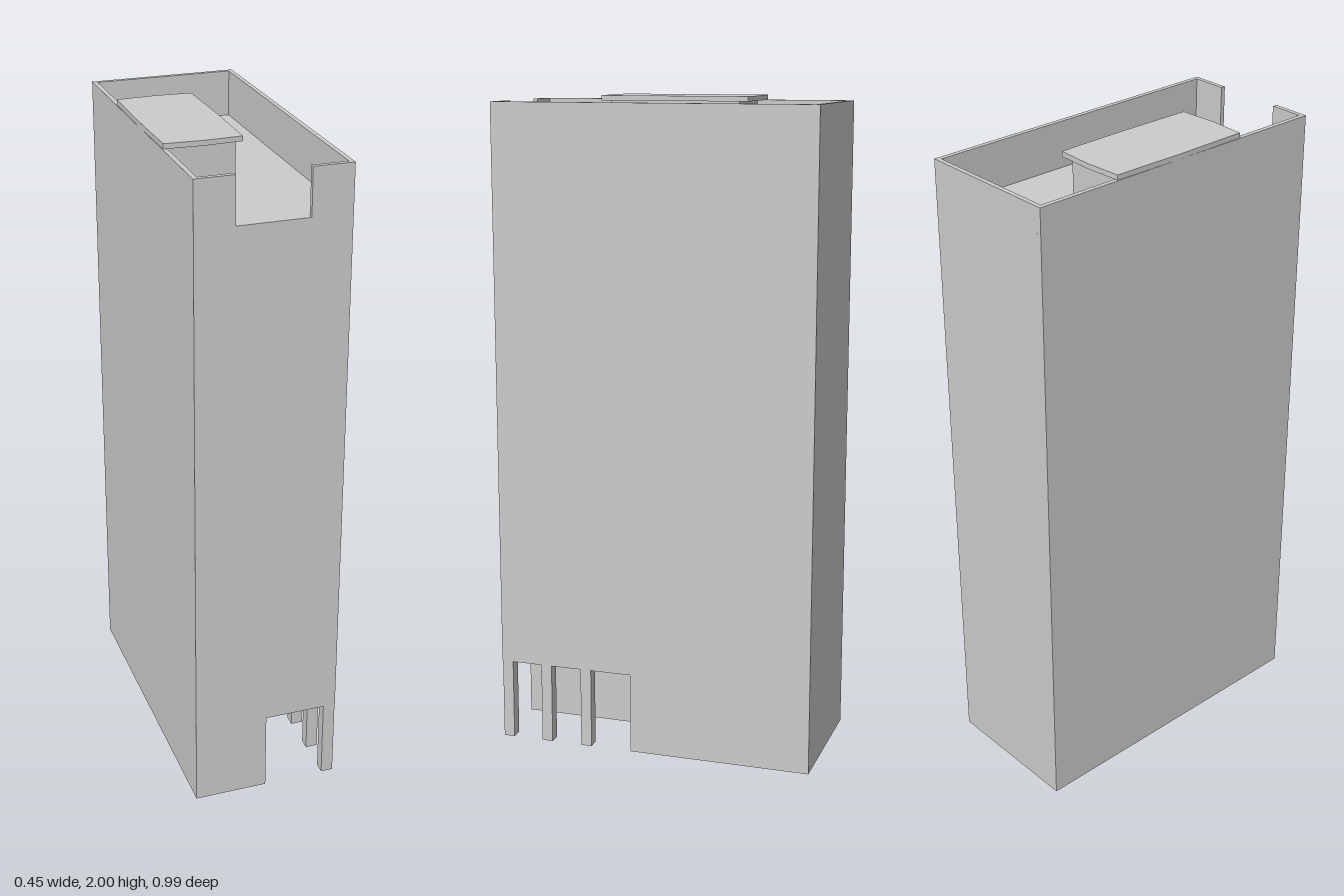
import * as THREE from 'three';

const material = new THREE.MeshStandardMaterial({ color: 0xcccccc, flatShading: true, side: THREE.DoubleSide });

const W = 0.225, D = 0.497;          // half width and half depth
const ROOF = 1.845, TOP = 1.985;     // roof deck and parapet top
const PORCH_Y = 0.25, PORCH_Z = 0.07; // height and rear of the corner porch

export function createModel() {
  const group = new THREE.Group();

  const add = (name, geometry) => {
    const mesh = new THREE.Mesh(geometry, material);
    mesh.name = name;
    group.add(mesh);
    return mesh;
  };

  // Box given by its limits on each axis
  const box = (name, x0, x1, y0, y1, z0, z1) =>
    add(name, new THREE.BoxGeometry(x1 - x0, y1 - y0, z1 - z0))
      .position.set((x0 + x1) / 2, (y0 + y1) / 2, (z0 + z1) / 2);

  // Thin upright walls following a closed plan of [x, z] points
  const walls = (name, plan, y0, y1) => {
    const p = [];
    plan.forEach(([ax, az], i) => {
      const [bx, bz] = plan[(i + 1) % plan.length];
      p.push(ax, y0, az, bx, y0, bz, bx, y1, bz, ax, y0, az, bx, y1, bz, ax, y1, az);
    });
    const g = new THREE.BufferGeometry();
    g.setAttribute('position', new THREE.Float32BufferAttribute(p, 3));
    g.computeVertexNormals();
    return add(name, g);
  };

  // Horizontal sheet, facing up or down
  const sheet = (name, x0, x1, z0, z1, y, up) => {
    const g = new THREE.PlaneGeometry(x1 - x0, z1 - z0);
    g.rotateX(up ? -Math.PI / 2 : Math.PI / 2);
    add(name, g).position.set((x0 + x1) / 2, y, (z0 + z1) / 2);
  };

  // Hollow tower: L-shaped ground storey, rectangular shaft above
  walls('groundStoreyWalls', [[-W, D], [0, D], [0, PORCH_Z], [W, PORCH_Z], [W, -D], [-W, -D]], 0, PORCH_Y);
  walls('towerWalls', [[-W, D], [W, D], [W, -D], [-W, -D]], PORCH_Y, ROOF);
  sheet('porchCeiling', 0, W, PORCH_Z, D, PORCH_Y, false);
  sheet('roofDeck', -W, W, -D, D, ROOF, true);

  // Three square columns along the open edge of the porch
  for (const z of [0.217, 0.348, 0.478]) {
    box('porchColumn', 0.188, W, 0, PORCH_Y, z - 0.017, z + 0.017);
  }

  // Parapet with a gap at the front
  const t = 0.014;
  box('parapetLeft', W - t, W, ROOF, TOP, -D, D);
  box('parapetRight', -W, -W + t, ROOF, TOP, -D, D);
  box('parapetBack', -W + t, W - t, ROOF, TOP, -D, -D + t);
  box('parapetFront', -W + t, -0.108, ROOF, TOP, D - t, D);
  box('parapetFront', 0.105, W - t, ROOF, TOP, D - t, D);

  // Rooftop plant room under a slightly bowed overhanging slab
  box('plantRoom', -0.208, -0.005, ROOF, TOP, -0.2, 0.2);
  const outline = [[-0.222, -0.229], [-0.108, -0.235], [0.005, -0.229], [0.008, 0],
    [0.005, 0.229], [-0.108, 0.235], [-0.222, 0.229], [-0.225, 0]];
  const slab = new THREE.ExtrudeGeometry(
    new THREE.Shape(outline.map(([x, y]) => new THREE.Vector2(x, y))),
    { depth: 2 - TOP, bevelEnabled: false });
  slab.rotateX(-Math.PI / 2);
  add('plantRoomSlab', slab).position.y = TOP;

  return group;
}
